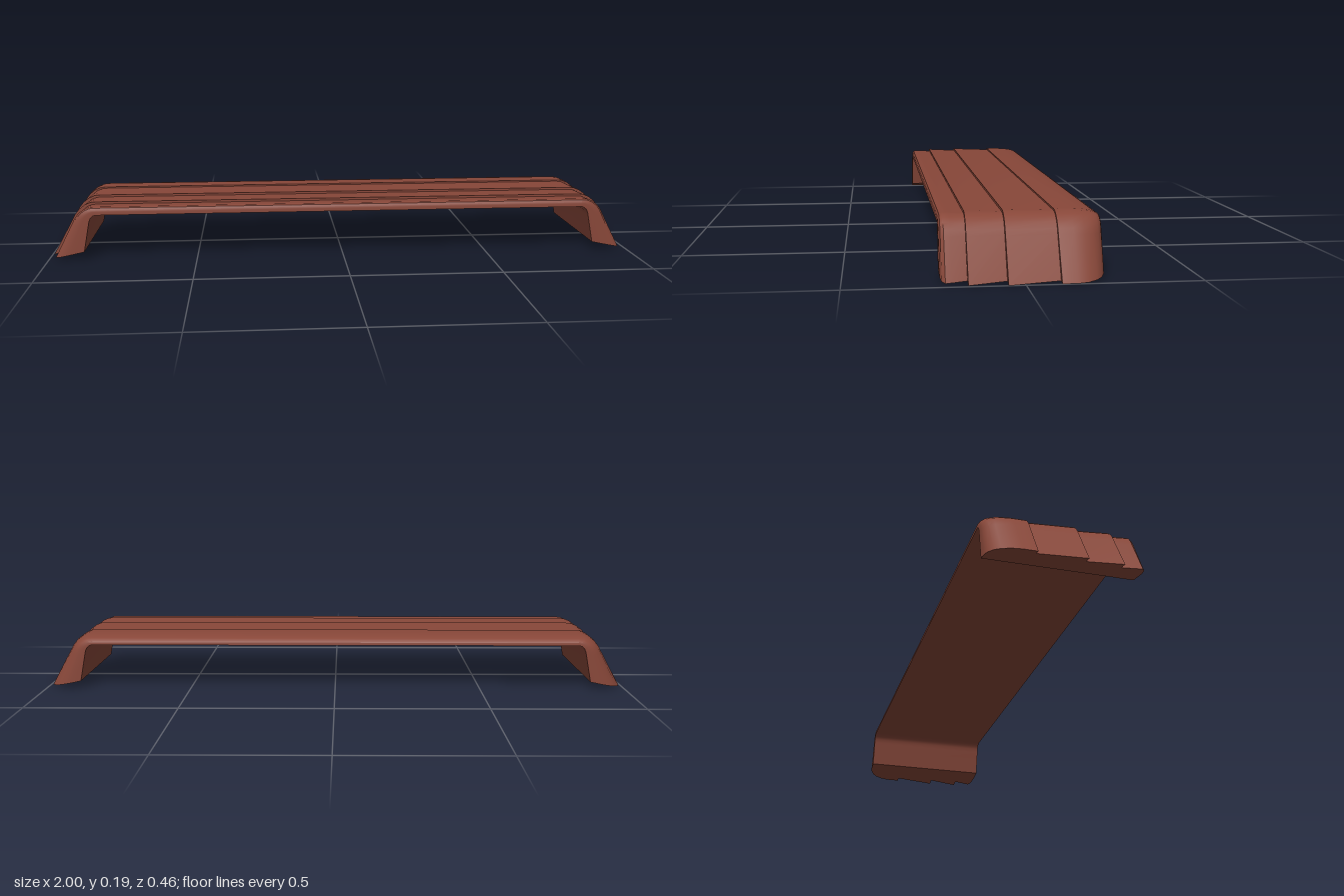
import * as THREE from 'three';
import { toCreasedNormals } from 'three/addons/utils/BufferGeometryUtils.js';

// Half of the arch, foot to flat top: [inner x, inner y, outer x, outer y]
const halfPath = [
  [0.88, 0.028, 1.0, 0.002],
  [0.862, 0.12, 0.93, 0.125],
  [0.859, 0.134, 0.92, 0.143],
  [0.854, 0.145, 0.905, 0.162],
  [0.846, 0.152, 0.885, 0.177],
  [0.838, 0.155, 0.865, 0.185],
  [0.828, 0.155, 0.845, 0.187],
];

// Stepped boards across the depth, back to front: [z, share of full thickness]
const profile = [
  [-0.232, 0], [-0.232, 0.3], [-0.228, 0.48], [-0.217, 0.68], [-0.2, 0.82],
  [-0.175, 0.93], [-0.145, 0.98], [-0.1, 0.98],
  [-0.1, 0.82], [0.048, 1],
  [0.048, 0.77], [0.157, 0.95],
  [0.157, 0.71], [0.2, 0.79], [0.218, 0.82], [0.227, 0.72], [0.231, 0.52],
  [0.232, 0.35], [0.232, 0],
];

export function createModel() {
  const group = new THREE.Group();
  const clay = new THREE.MeshStandardMaterial({ color: 0x884739 });

  // Full path from the -x foot to the +x foot
  const path = [
    ...halfPath.map(([ix, iy, ox, oy]) => [-ix, iy, -ox, oy]),
    ...[...halfPath].reverse(),
  ];
  const n = profile.length;
  const positions = [];
  const index = [];
  for (const [ix, iy, ox, oy] of path) {
    for (const [z, h] of profile) positions.push(ix + (ox - ix) * h, iy + (oy - iy) * h, z);
  }
  const quad = (a, b, c, d) => index.push(a, b, c, a, c, d);

  // Skin around the section; the last segment closes the flat underside
  for (let s = 0; s < path.length - 1; s++) {
    for (let j = 0; j < n; j++) {
      const k = (j + 1) % n;
      quad(s * n + j, s * n + k, (s + 1) * n + k, (s + 1) * n + j);
    }
  }

  // Soles of both feet, triangulated from the profile outline
  const outline = profile.map(([z, h]) => new THREE.Vector2(z, h));
  const last = (path.length - 1) * n;
  for (const [a, b, c] of THREE.ShapeUtils.triangulateShape(outline, [])) {
    // keep a constant winding whatever order the triangulation returns
    const [A, B, C] = [outline[a], outline[b], outline[c]];
    const area = (B.x - A.x) * (C.y - A.y) - (B.y - A.y) * (C.x - A.x);
    const [p, q] = area > 0 ? [b, c] : [c, b];
    index.push(a, p, q);
    index.push(last + a, last + q, last + p);
  }

  const geometry = new THREE.BufferGeometry();
  geometry.setAttribute('position', new THREE.Float32BufferAttribute(positions, 3));
  geometry.setIndex(index);
  const arch = new THREE.Mesh(toCreasedNormals(geometry, 0.6), clay);
  arch.name = 'steppedArch';
  group.add(arch);
  return group;
}
